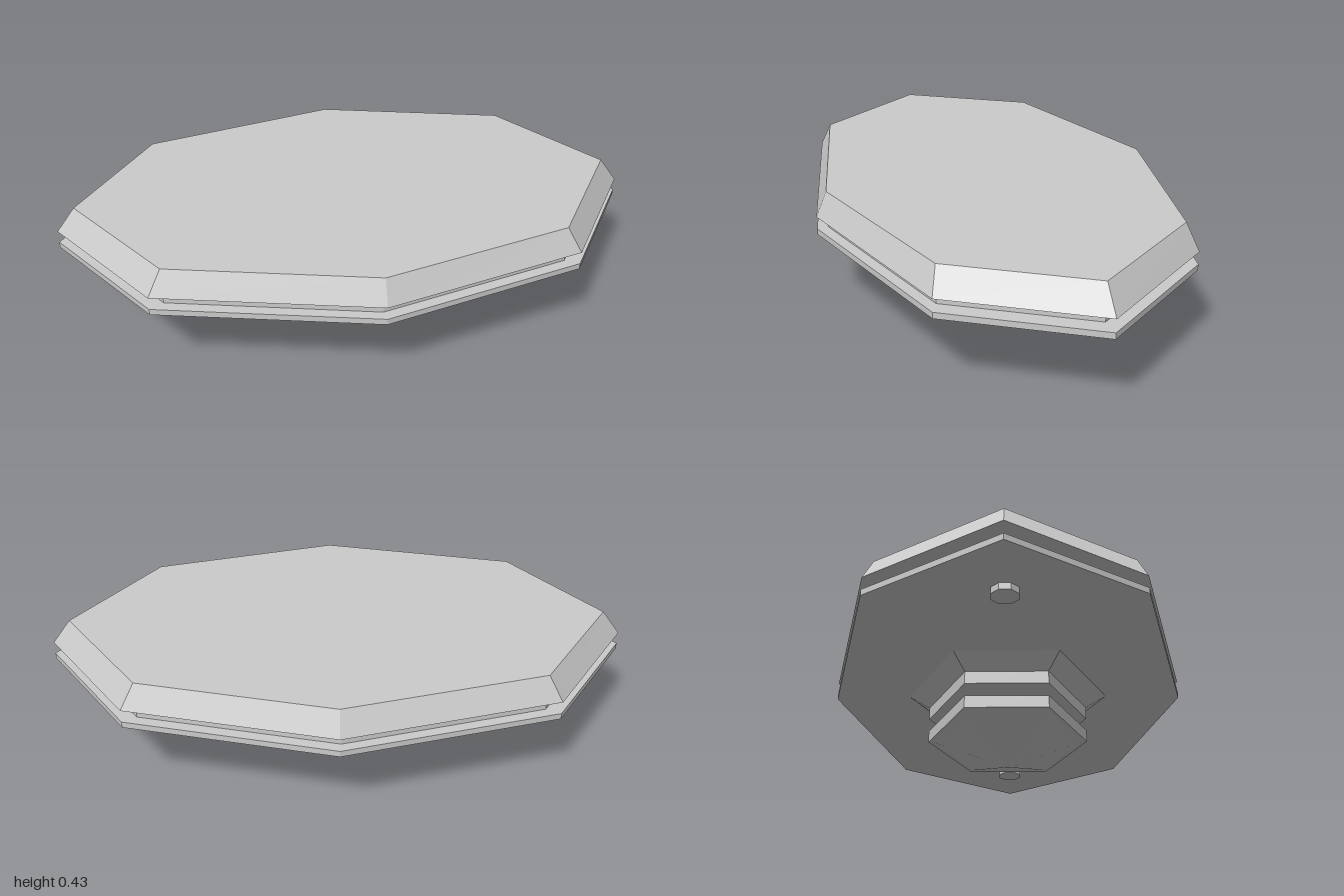
import * as THREE from 'three';

const material = new THREE.MeshStandardMaterial({ color: 0xcccccc, flatShading: true });

// Faceted tier between two heights; each end is [half width in x, half depth in z].
// Corners lie on the z axis; skew slides the front and back corners along x.
function tier(name, sides, y0, y1, bottom, top, skew = 0) {
  const h = y1 - y0;
  const geo = new THREE.CylinderGeometry(1, 1, h, sides);
  const p = geo.attributes.position;
  const widest = sides === 6 ? Math.sin(Math.PI / 3) : 1;
  for (let i = 0; i < p.count; i++) {
    const [hx, hz] = p.getY(i) > 0 ? top : bottom;
    const x = p.getX(i), z = p.getZ(i);
    const shift = Math.abs(z) > 0.99 ? skew : 0;
    p.setXYZ(i, (x / widest) * hx + shift, p.getY(i) + y0 + h / 2, z * hz);
  }
  geo.computeVertexNormals();
  const mesh = new THREE.Mesh(geo, material);
  mesh.name = name;
  return mesh;
}

export function createModel() {
  const group = new THREE.Group();
  group.name = 'floatingPlatform';

  // Octagonal deck: bevelled slab, recessed band and base plate
  const outer = [1, 0.62], inner = [0.935, 0.582];
  group.add(
    tier('deckSlab', 8, 0.341, 0.428, outer, inner, 0.015),
    tier('recessedBand', 8, 0.298, 0.341, inner, inner, 0.01),
    tier('basePlate', 8, 0.277, 0.298, outer, outer, 0.015)
  );

  // Hexagonal hub stacked below the deck
  const disc = [0.289, 0.282], neck = [0.09, 0.088];
  group.add(
    tier('hubFlare', 6, 0.231, 0.277, disc, [0.352, 0.355]),
    tier('upperDisc', 6, 0.187, 0.231, disc, disc),
    tier('hubNeck', 6, 0.141, 0.187, neck, neck),
    tier('lowerDisc', 6, 0.098, 0.141, disc, disc)
  );

  // Pointed tip facing down
  const tipGeo = new THREE.ConeGeometry(1, 0.098, 6, 1, true)
    .rotateX(Math.PI)
    .scale(0.27 / Math.sin(Math.PI / 3), 1, 0.266);
  const tip = new THREE.Mesh(tipGeo, material);
  tip.name = 'hubTip';
  tip.position.y = 0.049;
  group.add(tip);

  // Small octagonal pegs under both ends
  for (const side of [-1, 1]) {
    const peg = new THREE.Mesh(new THREE.CylinderGeometry(0.047, 0.047, 0.03, 8), material);
    peg.name = side > 0 ? 'leftPeg' : 'rightPeg';
    peg.rotation.y = Math.PI / 8;
    peg.position.set(side * 0.731, 0.27, 0);
    group.add(peg);
  }
  return group;
}
